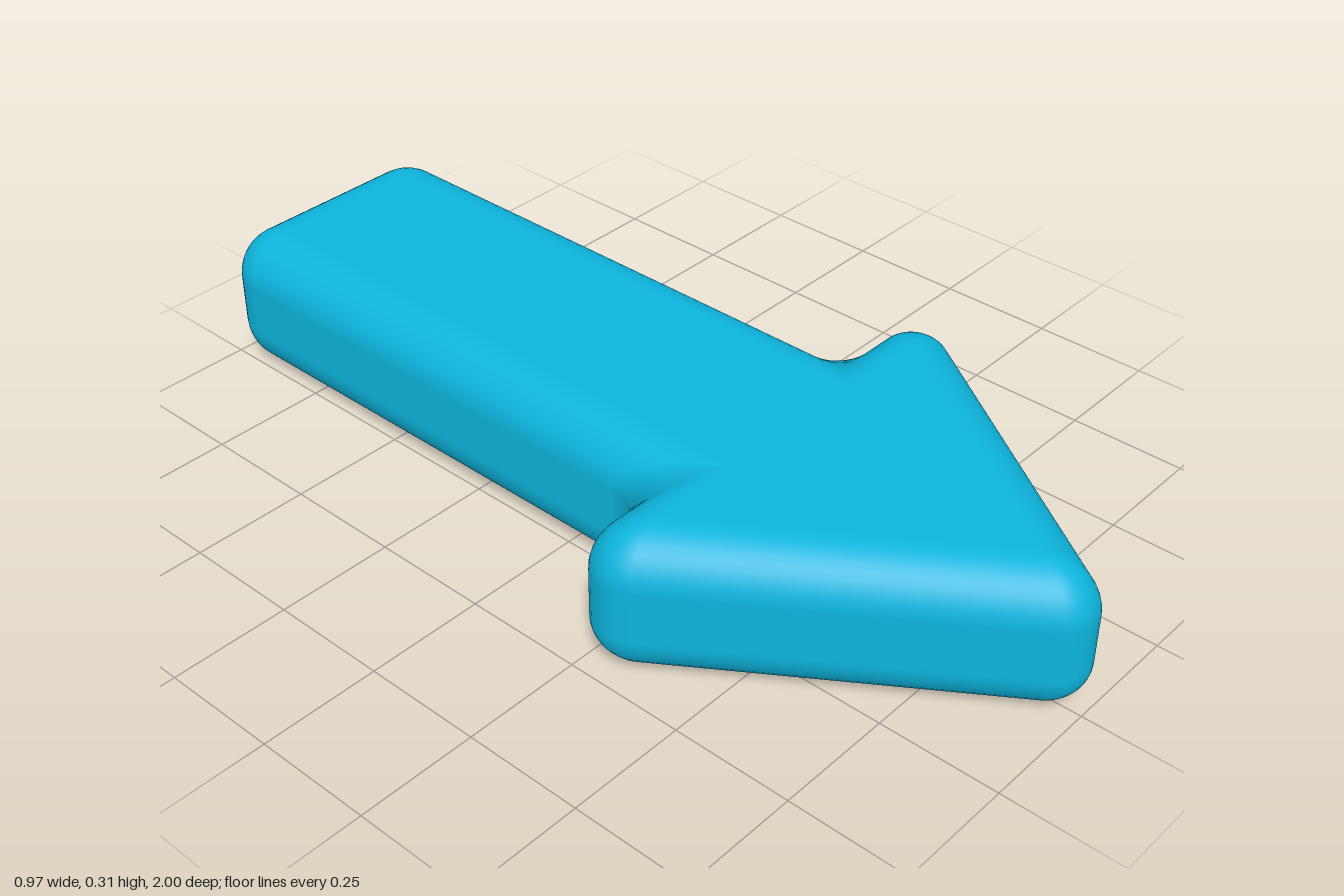
import * as THREE from 'three';
import { mergeGeometries } from 'three/addons/utils/BufferGeometryUtils.js';

const HEIGHT = 0.305, BEVEL = 0.1, ARC = 10, STEPS = 10;

// Sharp outline seen from above: x, z, corner radius
const half = [[0.556, 0.235, 0.08], [0.27, 0.235, 0.1], [0.27, -1, 0.1]];
const outline = [
  [0, 1.054, 0.07],
  ...half,
  ...half.slice().reverse().map(([x, z, r]) => [-x, z, r]),
];

// Round every corner; each rim point keeps its outward normal and the inset corner it curves towards
function roundOutline() {
  const n = outline.length, rim = [], inset = [];
  const edgeAngle = (p, q) => Math.atan2(q[0] - p[0], p[1] - q[1]);
  for (let i = 0; i < n; i++) {
    const v = outline[i], r = v[2];
    const a0 = edgeAngle(outline[(i + n - 1) % n], v);
    let turn = edgeAngle(v, outline[(i + 1) % n]) - a0;
    turn = Math.atan2(Math.sin(turn), Math.cos(turn));
    const side = turn < 0 ? 1 : -1; // convex or concave corner
    const mid = new THREE.Vector2(Math.cos(a0 + turn / 2), Math.sin(a0 + turn / 2));
    const stretch = 1 / Math.cos(turn / 2);
    const corner = new THREE.Vector2(v[0], v[1]);
    const centre = corner.clone().addScaledVector(mid, -side * r * stretch);
    const inner = corner.clone().addScaledVector(mid, -BEVEL * stretch);
    inset.push(inner);
    for (let k = 0; k <= ARC; k++) {
      const a = a0 + turn * k / ARC;
      const normal = new THREE.Vector2(Math.cos(a), Math.sin(a));
      rim.push({ point: centre.clone().addScaledVector(normal, side * r), normal, inner });
    }
  }
  return { rim, inset };
}

// Rounded wall: quarter-round bevel, upright band, quarter-round bevel
function wallGeometry(rim) {
  const pos = [], nor = [], idx = [], n = rim.length;
  const rings = [];
  for (let s = 0; s <= STEPS; s++) rings.push([-Math.PI / 2 * (1 - s / STEPS), BEVEL]);
  for (let s = 0; s <= STEPS; s++) rings.push([Math.PI / 2 * s / STEPS, HEIGHT - BEVEL]);
  rings.forEach(([a, y], j) => {
    const c = Math.cos(a), s = Math.sin(a);
    rim.forEach(({ point, normal, inner }, i) => {
      const p = inner.clone().lerp(point, c);
      pos.push(p.x, y + BEVEL * s, p.y);
      nor.push(normal.x * c, s, normal.y * c);
      if (j === rings.length - 1) return;
      const k = (i + 1) % n, A = j * n + i, B = j * n + k;
      idx.push(A, B, B + n, A, B + n, A + n);
    });
  });
  const g = new THREE.BufferGeometry();
  g.setAttribute('position', new THREE.Float32BufferAttribute(pos, 3));
  g.setAttribute('normal', new THREE.Float32BufferAttribute(nor, 3));
  g.setIndex(idx);
  return g;
}

// Flat face inside the bevel; dir is 1 for the top and -1 for the bottom
function capGeometry(inset, dir) {
  const shape = new THREE.Shape(inset.map(p => new THREE.Vector2(p.x, -dir * p.y)));
  const g = new THREE.ShapeGeometry(shape);
  g.deleteAttribute('uv');
  return g.rotateX(-dir * Math.PI / 2).translate(0, dir > 0 ? HEIGHT : 0, 0);
}

export function createModel() {
  const group = new THREE.Group();
  group.name = 'arrow';
  const { rim, inset } = roundOutline();
  const geometry = mergeGeometries([wallGeometry(rim), capGeometry(inset, 1), capGeometry(inset, -1)]);
  const arrow = new THREE.Mesh(geometry, new THREE.MeshStandardMaterial({ color: 0x0db4dc }));
  arrow.name = 'arrowBody';
  group.add(arrow);
  return group;
}
